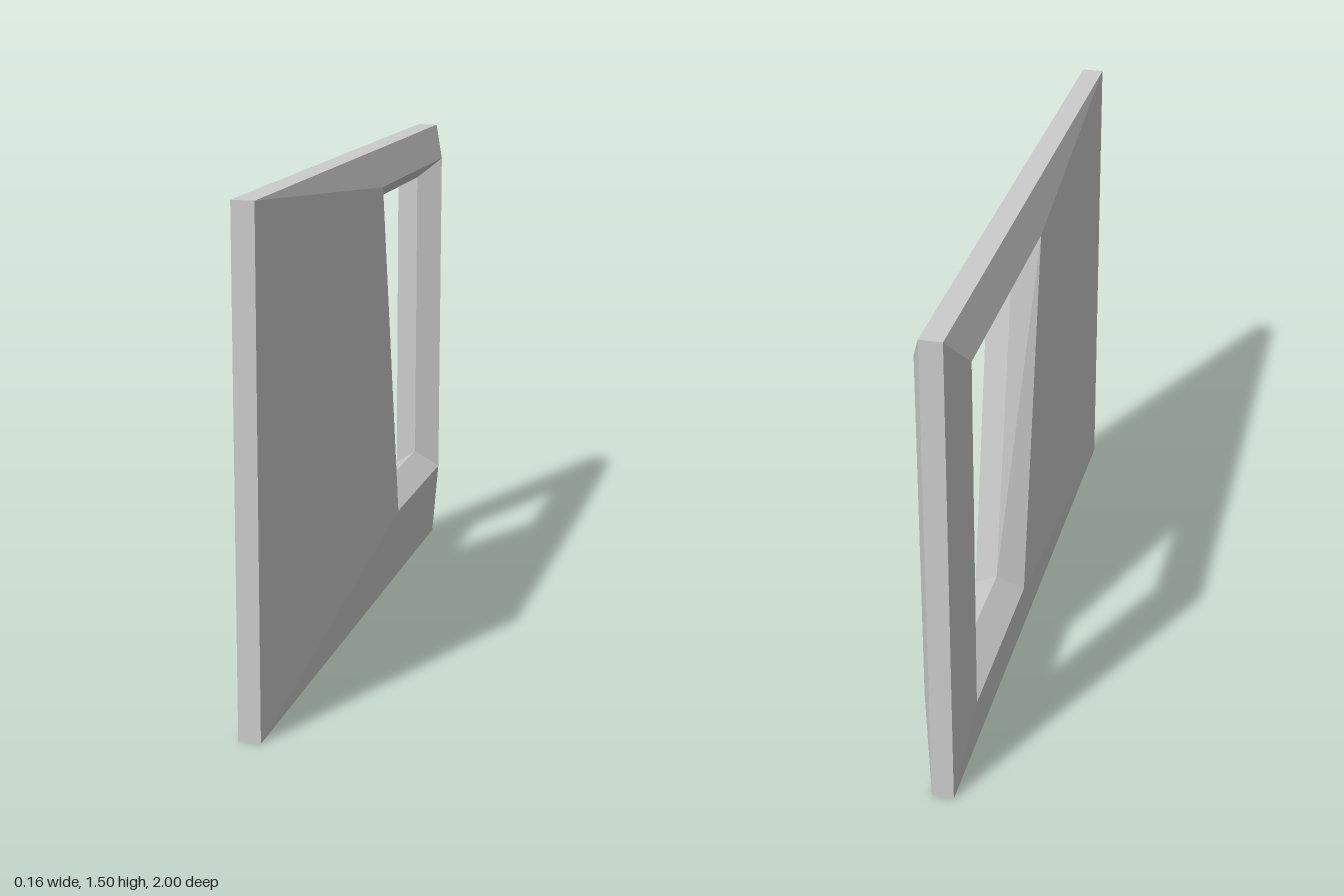
import * as THREE from 'three';

// Corner loops as [z, y]: bottom front, bottom back, top back, top front
const OUTER = [[1, 0], [-1, 0], [-1, 1.5], [1, 1.5]];
const RIM = [[-0.32, 0.28], [-0.895, 0.28], [-0.895, 1.395], [-0.105, 1.395]];
const RIDGE = [[-0.357, 0.34], [-0.857, 0.34], [-0.857, 1.33], [-0.142, 1.33]];

// Joins two corner loops, each at its own x, with a band of faces
function band(loopA, xA, loopB, xB) {
  const positions = [];
  const point = (loop, x, i) => [x, loop[i % 4][1], loop[i % 4][0]];
  for (let i = 0; i < 4; i++) {
    const a = point(loopA, xA, i), b = point(loopA, xA, i + 1);
    const c = point(loopB, xB, i + 1), d = point(loopB, xB, i);
    positions.push(...a, ...b, ...d, ...b, ...c, ...d);
  }
  const geometry = new THREE.BufferGeometry();
  geometry.setAttribute('position', new THREE.Float32BufferAttribute(positions, 3));
  geometry.computeVertexNormals();
  return geometry;
}

export function createModel() {
  const group = new THREE.Group();
  group.name = 'windowPanel';
  const material = new THREE.MeshStandardMaterial({ color: 0xcccccc, flatShading: true });
  const edgeX = 0.033, rimX = 0.078;

  const add = (name, geometry) => {
    const mesh = new THREE.Mesh(geometry, material);
    mesh.name = name;
    group.add(mesh);
  };

  // Thin outer edge, sloped faces and the bevelled opening
  add('outerEdge', band(OUTER, -edgeX, OUTER, edgeX));
  add('leftFace', band(OUTER, edgeX, RIM, rimX));
  add('leftOpeningBevel', band(RIM, rimX, RIDGE, 0));
  add('rightOpeningBevel', band(RIDGE, 0, RIM, -rimX));

  // Right face mirrors the left one, with the corner order turned round
  const rightFace = band(OUTER, edgeX, RIM, rimX).scale(-1, 1, 1);
  const p = rightFace.attributes.position;
  rightFace.setIndex(Array.from({ length: p.count }, (_, i) => p.count - 1 - i));
  rightFace.computeVertexNormals();
  add('rightFace', rightFace);

  return group;
}
